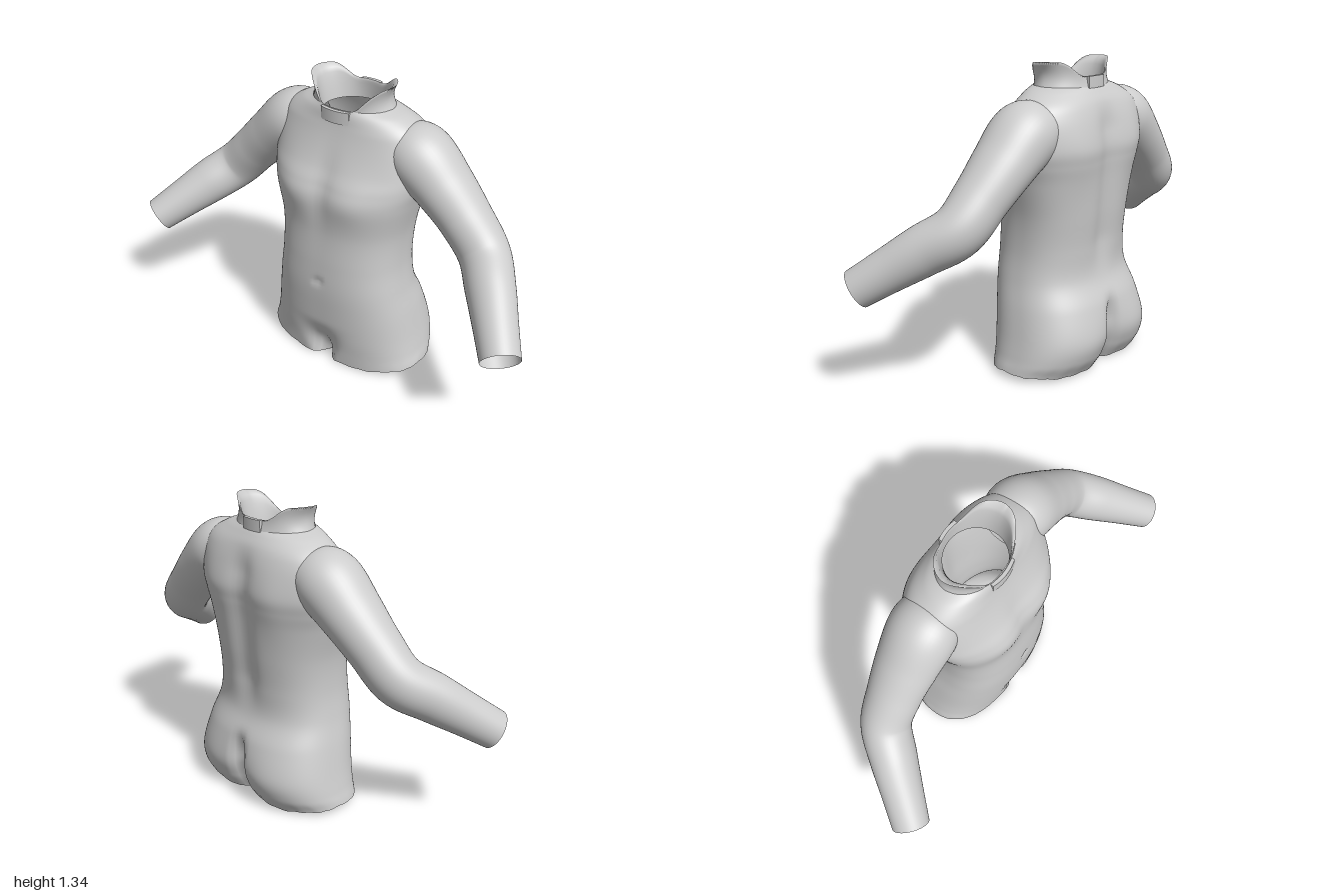
import * as THREE from 'three';

const material = new THREE.MeshStandardMaterial({ color: 0xcccccc, side: THREE.DoubleSide });
const bump = (d, s) => Math.exp(-(d * d) / (s * s));
const spow = (v, p) => Math.sign(v) * Math.abs(v) ** p;
const smooth = THREE.MathUtils.smoothstep;

// Skins closed rings: point(angle, v) gives a vertex; flip reverses the facing
function loft(name, around, along, point, flip = false) {
  const pos = [], index = [];
  for (let j = 0; j <= along; j++)
    for (let i = 0; i < around; i++) pos.push(...point((i / around) * Math.PI * 2, j / along));
  for (let j = 0; j < along; j++)
    for (let i = 0; i < around; i++) {
      const k = (i + 1) % around;
      const a = j * around + i, b = j * around + k, c = a + around, d = b + around;
      if (flip) index.push(a, b, c, b, d, c);
      else index.push(a, c, b, b, c, d);
    }
  const g = new THREE.BufferGeometry();
  g.setAttribute('position', new THREE.Float32BufferAttribute(pos, 3));
  g.setIndex(index);
  g.computeVertexNormals();
  const mesh = new THREE.Mesh(g, material);
  mesh.name = name;
  return mesh;
}

const spline = (pts) => new THREE.CatmullRomCurve3(pts.map((p) => new THREE.Vector3(...p)), false, 'catmullrom', 0.5);

// Torso rings: height, half width, front z, back z
const TORSO = [
  [0.005, 0.405, 0.18, -0.27], [0.08, 0.392, 0.188, -0.315], [0.17, 0.372, 0.2, -0.335],
  [0.3, 0.345, 0.21, -0.3], [0.42, 0.317, 0.215, -0.247], [0.55, 0.3, 0.21, -0.245],
  [0.7, 0.305, 0.2, -0.26], [0.85, 0.338, 0.203, -0.272], [0.93, 0.36, 0.18, -0.28],
  [1.0, 0.37, 0.146, -0.284], [1.1, 0.36, 0.106, -0.265], [1.17, 0.325, 0.084, -0.24],
  [1.215, 0.26, 0.077, -0.212], [1.24, 0.19, 0.072, -0.192],
];

function buildTorso() {
  const widths = spline(TORSO.map(([y, w]) => [y, w, 0]));
  const depths = spline(TORSO.map(([y, , f, b]) => [y, f, b]));
  return loft('torso', 128, 110, (a, v) => {
    const p = widths.getPoint(v), q = depths.getPoint(v);
    let y = p.x;
    const c = Math.cos(a), s = Math.sin(a);
    const e = 0.82 + 0.18 * smooth(y, 1.15, 1.24);
    const x = p.y * spow(c, e);
    const mid = (q.y + q.z) / 2, half = (q.y - q.z) / 2;
    let z = mid + half * spow(s, e);
    if (s > 0) {
      // Chest, groin hollow and navel
      z += s * 0.016 * bump(Math.abs(x) - 0.15, 0.1) * bump(y - 0.9, 0.1);
      z -= s * 0.012 * bump(x, 0.05) * bump(y - 0.9, 0.15);
      z -= 0.075 * bump(x, 0.03 + 0.35 * Math.max(y, 0)) * (1 - smooth(y, 0, 0.24));
      z -= 0.012 * bump(x, 0.018) * bump(y - 0.455, 0.02);
    } else {
      // Cleft, spine furrow and shoulder blades
      z += 0.055 * bump(x, 0.03) * (1 - smooth(y, 0.2, 0.36));
      z += 0.035 * bump(x, 0.11) * (1 - smooth(y, 0.08, 0.36));
      z += 0.022 * bump(x, 0.06) * smooth(y, 0.4, 0.6) * (1 - smooth(y, 1.05, 1.2));
      z += s * 0.012 * bump(Math.abs(x) - 0.18, 0.09) * bump(y - 0.98, 0.14);
    }
    // Uneven cut at the hips, higher at the sides
    const cut = 0.027 * c * c + 0.004 * Math.sin(a * 17) * Math.sin(a * 7 + 1);
    y += cut * (1 - smooth(y, 0, 0.1));
    return [x, Math.max(y, 0), z];
  });
}

// Arm rings: centre, radius in the arm's plane, radius front to back
const ARM = [
  [0.24, 1.09, -0.085, 0.115, 0.13], [0.33, 1.055, -0.08, 0.14, 0.148], [0.45, 0.955, -0.075, 0.124, 0.135],
  [0.56, 0.85, -0.065, 0.112, 0.118], [0.67, 0.735, -0.04, 0.11, 0.107], [0.76, 0.658, 0.06, 0.106, 0.1],
  [0.85, 0.575, 0.17, 0.092, 0.09], [0.93, 0.5, 0.268, 0.081, 0.083],
];

function buildArm(name, side) {
  const path = spline(ARM.map((r) => r.slice(0, 3)));
  const radii = spline(ARM.map((r) => [r[3], r[4], 0]));
  return loft(name, 48, 56, (a, v) => {
    const t = path.getTangent(v);
    const n = new THREE.Vector3(1, 1, 0).normalize();
    n.addScaledVector(t, -n.dot(t)).normalize();
    const b = new THREE.Vector3().crossVectors(t, n);
    const r = radii.getPoint(v);
    const p = path.getPoint(v).addScaledVector(n, r.x * Math.cos(a)).addScaledVector(b, r.y * Math.sin(a));
    return [p.x * side, p.y, p.z];
  }, side > 0);
}

// Rim height of the collar: low in front, high at the sides
function rimHeight(a) {
  const c = Math.abs(Math.cos(a)), s = Math.sin(a);
  return s > 0
    ? 1.24 + 0.1 * smooth(c, 0.35, 1)
    : 1.28 + 0.062 * smooth(c, 0.3, 0.85);
}

// Collar wall: up the outside, over the rim and down the inside
function buildCollar() {
  const at = (a, rx, rz, y) => [rx * Math.cos(a), y, -0.06 + rz * Math.sin(a)];
  return loft('collar', 96, 16, (a, v) => {
    const top = rimHeight(a), base = 1.225 - 0.045 * Math.max(0, Math.sin(a));
    if (v <= 0.5) {
      const k = v * 2;
      return at(a, 0.2 - 0.02 * Math.sin(Math.PI * k), 0.14 - 0.012 * k, base + (top - base) * k);
    }
    const k = v * 2 - 1;
    return at(a, 0.195 - 0.06 * Math.sqrt(k), 0.127 + 0.003 * k, top + (1.19 - top) * k);
  });
}

// Small curved tab lying on the collar
function buildTab(name, facing, y, z, width, height) {
  const g = new THREE.BoxGeometry(width, height, 0.016, 12, 1, 1);
  const p = g.attributes.position;
  for (let i = 0; i < p.count; i++) p.setZ(i, p.getZ(i) - 2.5 * p.getX(i) ** 2);
  g.computeVertexNormals();
  const mesh = new THREE.Mesh(g, material);
  mesh.name = name;
  mesh.position.set(0, y, z);
  if (facing < 0) mesh.rotation.y = Math.PI;
  return mesh;
}

export function createModel() {
  const model = new THREE.Group();
  model.name = 'bodyTorso';
  model.add(
    buildTorso(),
    buildArm('leftArm', 1),
    buildArm('rightArm', -1),
    buildCollar(),
    buildTab('frontCollarTab', 1, 1.21, 0.082, 0.14, 0.055),
    buildTab('backCollarTab', -1, 1.255, -0.197, 0.1, 0.05),
  );
  return model;
}
